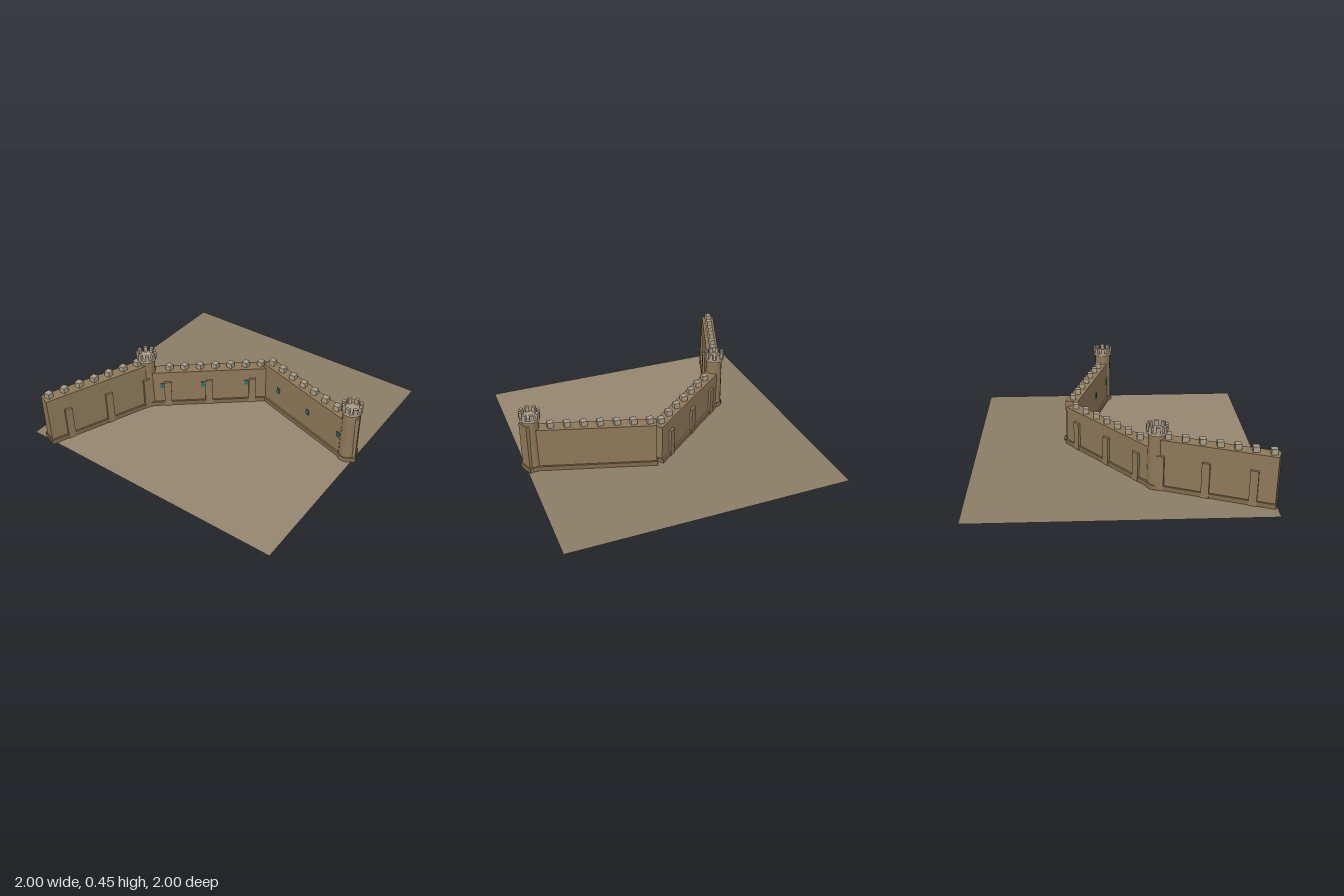
import * as THREE from 'three';

const mat = (color, extra = {}) => new THREE.MeshStandardMaterial({ color, ...extra });
const stone = mat(0x8e7859);
const plinthStone = mat(0x7f6a4c);
const capStone = mat(0xa89a86);
const glass = mat(0x2f6f70);

function add(parent, name, geometry, material, x, y, z) {
  const mesh = new THREE.Mesh(geometry, material);
  mesh.name = name;
  mesh.position.set(x, y, z);
  parent.add(mesh);
  return mesh;
}

const box = (parent, name, [w, h, d], material, x, y, z) =>
  add(parent, name, new THREE.BoxGeometry(w, h, d), material, x, y, z);

// Straight wall between two [x, z] points; local x runs along it, local +z is its inner side
function wall(name, [x0, z0], [x1, z1], height, { piers = [], pierHeight = 0, windows = [] } = {}) {
  const group = new THREE.Group();
  group.name = name;
  group.position.set(x0, 0, z0);
  group.rotation.y = -Math.atan2(z1 - z0, x1 - x0);
  const length = Math.hypot(x1 - x0, z1 - z0);
  box(group, 'wallBody', [length, height, 0.09], stone, length / 2, height / 2, 0);
  box(group, 'plinth', [length + 0.012, 0.035, 0.115], plinthStone, length / 2, 0.0175, 0);
  for (const t of piers) {
    for (const side of [-1, 1]) {
      box(group, 'buttress', [0.052, pierHeight, 0.03], stone, t * length, pierHeight / 2, side * 0.047);
    }
  }
  for (const t of windows) {
    box(group, 'window', [0.026, 0.04, 0.012], glass, t * length, 0.175, 0.045);
  }
  return group;
}

// Row of square merlons, aligned with the axes, along a wall top
function merlons(name, from, to, y, count = 7) {
  const group = new THREE.Group();
  group.name = name;
  for (let i = 0; i < count; i++) {
    const t = i / (count - 1);
    box(group, 'merlon', [0.042, 0.04, 0.042], capStone,
      THREE.MathUtils.lerp(from[0], to[0], t), y + 0.018, THREE.MathUtils.lerp(from[1], to[1], t));
  }
  return group;
}

// Round tower with a flared foot, a crown and a ring of merlons
function tower([x, z]) {
  const group = new THREE.Group();
  group.name = 'tower';
  group.position.set(x, 0, z);
  add(group, 'towerFoot', new THREE.CylinderGeometry(0.066, 0.07, 0.035, 16), plinthStone, 0, 0.0175, 0);
  add(group, 'towerShaft', new THREE.CylinderGeometry(0.057, 0.062, 0.4, 16), stone, 0, 0.2, 0);
  add(group, 'towerCrown', new THREE.CylinderGeometry(0.07, 0.07, 0.02, 16), capStone, 0, 0.4, 0);
  for (let i = 0; i < 8; i++) {
    const a = (i * Math.PI) / 4;
    const m = box(group, 'towerMerlon', [0.02, 0.042, 0.026], capStone,
      Math.cos(a) * 0.061, 0.429, Math.sin(a) * 0.061);
    m.rotation.y = -a;
  }
  return group;
}

// Flat ground piece from [x, z] points
function ground(name, points, color) {
  const shape = new THREE.Shape(points.map(([x, z]) => new THREE.Vector2(x, -z)));
  const mesh = new THREE.Mesh(new THREE.ShapeGeometry(shape), mat(color, { side: THREE.DoubleSide }));
  mesh.name = name;
  mesh.rotation.x = -Math.PI / 2;
  mesh.position.y = 0.003;
  return mesh;
}

export function createModel() {
  const model = new THREE.Group();
  model.name = 'cityWall';

  const A = [-0.977, -0.855], B = [-0.24, -0.57], C = [0.317, 0.112], D = [0.072, 0.915];
  const E = [0.092, 0.972];

  // Ground inside and outside the wall line
  const line = [A, B, C, D, [0.085, 0.97]];
  ground('x', line, 0);
  model.add(ground('innerGround', [...line, [-0.98, 0.97]], 0x968671));
  model.add(ground('outerGround', [[-0.98, -1], [1, -1], [1, 0.97], ...[...line].reverse()], 0x8a7e66));

  // Wall sections
  model.add(wall('tallWall', A, B, 0.36, { piers: [0.18, 0.57, 0.95], pierHeight: 0.25 }));
  model.add(wall('lowWall', B, C, 0.288,
    { piers: [0.16, 0.5, 0.86], pierHeight: 0.21, windows: [0.115, 0.45, 0.81] }));
  model.add(wall('middleWall', C, D, 0.32, { windows: [0.2, 0.57, 0.93] }));
  model.add(wall('wallStub', D, E, 0.36));

  // Battlements
  model.add(merlons('tallBattlement', [-0.938, -0.84], [-0.31, -0.6], 0.36));
  model.add(merlons('lowBattlement', [-0.14, -0.447], [0.283, 0.067], 0.288));
  model.add(merlons('middleBattlement', [0.304, 0.155], [0.11, 0.79], 0.32));

  // Towers
  for (const p of [B, D]) model.add(tower(p));
  return model;
}
